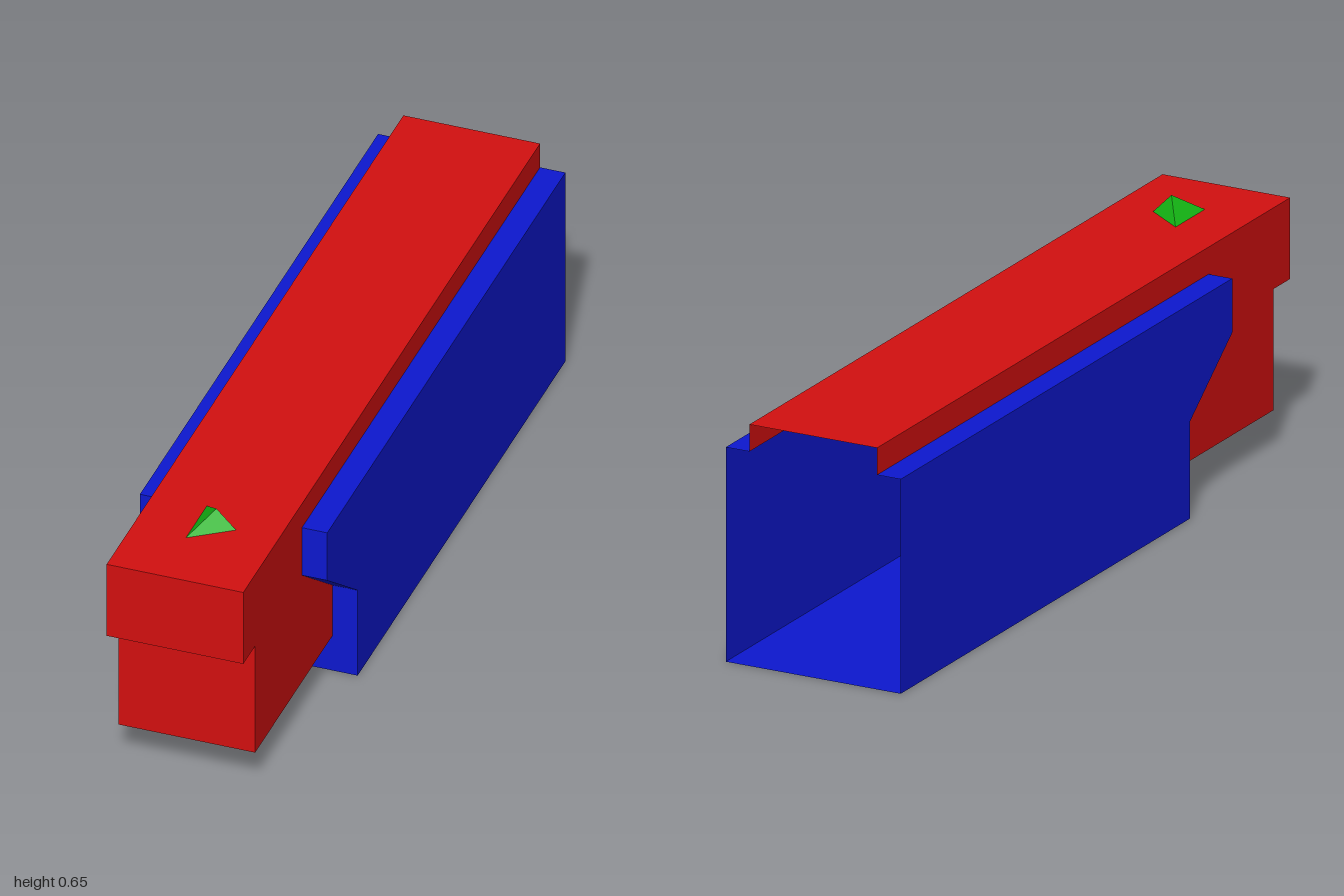
import * as THREE from 'three';

const RED_X = 0.17;   // half width of the inner slide
const BLUE_X = 0.233; // half width of the outer casing

// Flat-shaded sheet geometry from a list of triangles' corners
function sheet(corners) {
  const g = new THREE.BufferGeometry();
  g.setAttribute('position', new THREE.Float32BufferAttribute(corners.flat(), 3));
  g.computeVertexNormals();
  return g;
}

// Sweeps a [z, y] path across the width from x0 to x1
function strip(path, x0, x1) {
  const corners = [];
  for (let i = 0; i < path.length - 1; i++) {
    const [z, y] = path[i], [w, v] = path[i + 1];
    const a = [x0, y, z], b = [x1, y, z], c = [x1, v, w], d = [x0, v, w];
    corners.push(a, b, c, a, c, d);
  }
  return sheet(corners);
}

// Upright side wall with a [z, y] outline, facing outward at x = s * halfWidth
function wall(outline, s, halfWidth) {
  const shape = new THREE.Shape(outline.map(([z, y]) => new THREE.Vector2(-s * z, y)));
  return new THREE.ShapeGeometry(shape).rotateY(s * Math.PI / 2).translate(s * halfWidth, 0, 0);
}

export function createModel() {
  const model = new THREE.Group();
  const material = (color) => new THREE.MeshStandardMaterial({ color, side: THREE.DoubleSide });
  const red = material(0xd41010), blue = material(0x0d18d0), green = material(0x14b814);
  const add = (parent, name, geometry, mat) => {
    const mesh = new THREE.Mesh(geometry, mat);
    mesh.name = name;
    parent.add(mesh);
  };

  const slide = new THREE.Group();
  slide.name = 'slide';
  const casing = new THREE.Group();
  casing.name = 'casing';
  model.add(slide, casing);

  // Edge shared by both parts, from the bottom of the mouth to the back
  const mouth = [[0.4, 0.097], [0.4, 0.24], [0.605, 0.397], [0.605, 0.531], [-1, 0.531]];
  // Stepped nose and top of the slide
  const nose = [[0.4, 0.097], [0.92, 0.097], [0.92, 0.397], [1, 0.397], [1, 0.598], [-1, 0.598]];

  add(slide, 'slideShell', strip(nose, -RED_X, RED_X), red);
  // Casing floor and the low lip under the slide, open at the back
  add(casing, 'casingFloor', strip([[-1, 0], [0.4, 0], [0.4, 0.097]], -BLUE_X, BLUE_X), blue);

  for (const s of [1, -1]) {
    const side = s > 0 ? 'left' : 'right';
    add(slide, side + 'SlideSide', wall([...nose, ...mouth.slice(1).reverse()], s, RED_X), red);
    add(casing, side + 'CasingSide', wall([[-1, 0], [0.4, 0], ...mouth.slice(1)], s, BLUE_X), blue);
    const xs = [s * RED_X, s * BLUE_X].sort((a, b) => a - b);
    add(casing, side + 'CasingRim', strip(mouth, xs[0], xs[1]), blue);
  }

  // Small three-sided sight on top of the nose
  const a = [-0.035, 0.598, 0.69], b = [-0.035, 0.598, 0.832], c = [0.064, 0.598, 0.761];
  const tip = [0.015, 0.647, 0.761];
  add(model, 'frontSight', sheet([a, b, tip, b, c, tip, c, a, tip, a, c, b]), green);

  return model;
}
